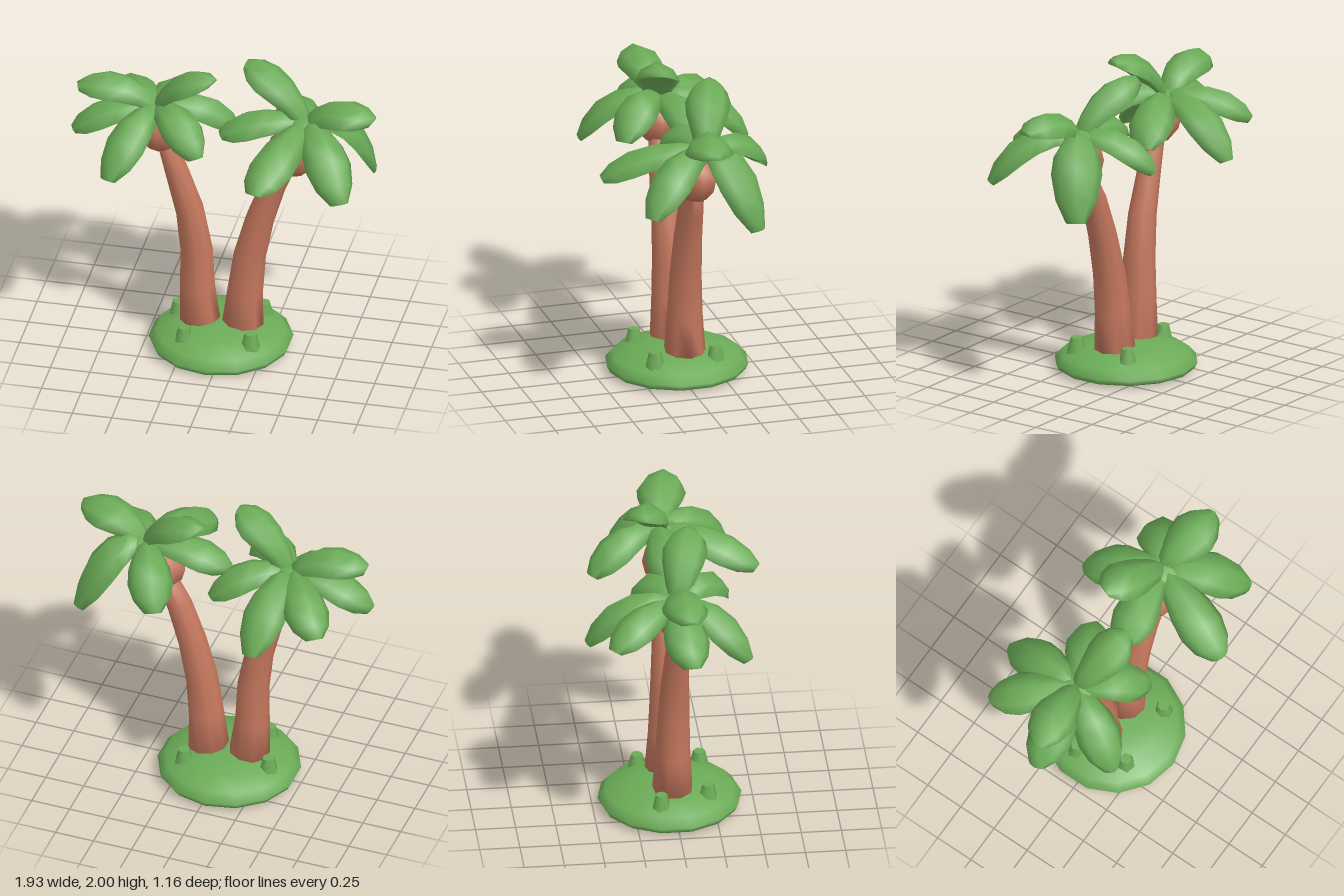
import * as THREE from 'three';

const V = (a) => new THREE.Vector3(...a);
const leafGreen = new THREE.MeshStandardMaterial({ color: 0x6bab57 });
leafGreen.name = 'leafGreen';
const barkBrown = new THREE.MeshStandardMaterial({ color: 0xc4775d });
barkBrown.name = 'barkBrown';

// Closed skin through rings along a curve; section(i, angle) gives [side, up] offsets
function loft(curve, steps, sides, sideAt, section) {
  const pos = [], idx = [];
  for (let i = 0; i < steps.length; i++) {
    const c = curve.getPoint(steps[i]), t = curve.getTangent(steps[i]);
    const s = sideAt(t), u = t.clone().cross(s);
    for (let k = 0; k < sides; k++) {
      const [a, b] = section(i, (k / sides) * Math.PI * 2);
      const p = c.clone().addScaledVector(s, a).addScaledVector(u, b);
      pos.push(p.x, p.y, p.z);
    }
  }
  for (let i = 0; i < steps.length - 1; i++) {
    for (let k = 0; k < sides; k++) {
      const a = i * sides + k, b = i * sides + (k + 1) % sides;
      idx.push(a, b, a + sides, b, b + sides, a + sides);
    }
  }
  // End caps
  const last = (steps.length - 1) * sides;
  for (let k = 1; k < sides - 1; k++) {
    idx.push(0, k + 1, k, last, last + k, last + k + 1);
  }
  const g = new THREE.BufferGeometry();
  g.setAttribute('position', new THREE.Float32BufferAttribute(pos, 3));
  g.setIndex(idx);
  g.computeVertexNormals();
  return g;
}

function add(parent, name, geometry, material, at = [0, 0, 0]) {
  const m = new THREE.Mesh(geometry, material);
  m.name = name;
  m.position.set(...at);
  parent.add(m);
  return m;
}

// Bent, tapering trunk
function trunk(points, radii) {
  const curve = new THREE.CatmullRomCurve3(points.map(V));
  const steps = points.map((_, i) => i / (points.length - 1));
  const side = (t) => new THREE.Vector3(1, 0, 0).addScaledVector(t, -t.x).normalize();
  return loft(curve, steps, 9, side, (i, a) => [Math.cos(a) * radii[i], Math.sin(a) * radii[i]]);
}

// Plump arching frond, widest past its middle, with a blunt tip and drooping edges
const frondSteps = [0, 0.2, 0.42, 0.65, 0.86, 1];
const frondWidths = [0.06, 0.095, 0.13, 0.142, 0.115, 0.055];
const frondThick = [0.035, 0.045, 0.05, 0.05, 0.038, 0.015];
function frond(hub, bend, tip, widen) {
  const curve = new THREE.QuadraticBezierCurve3(V(hub), V(bend), V(tip));
  const side = (t) => new THREE.Vector3(0, 1, 0).cross(t).normalize();
  return loft(curve, frondSteps, 8, side, (i, a) => {
    const c = Math.cos(a), s = Math.sin(a), w = frondWidths[i] * widen;
    return [c * w, s * frondThick[i] * (s > 0 ? 1 : 0.9) - c * c * w * 0.5];
  });
}

function palm(name, { path, radii, head, headRadius, hub, fronds }) {
  const tree = new THREE.Group();
  tree.name = name;
  add(tree, 'trunk', trunk(path, radii), barkBrown);
  add(tree, 'trunkHead', new THREE.SphereGeometry(headRadius, 8, 6), barkBrown, head).scale.z = 0.86;
  add(tree, 'crownHub', new THREE.SphereGeometry(0.12, 8, 6), leafGreen, hub).scale.y = 0.42;
  // Each frond: tip x, y, z, the height of its bend and how much it is widened
  for (const [x, y, z, bendY, widen = 1] of fronds) {
    const k = bendY > 1.85 ? 0.42 : 0.64;
    const bend = [hub[0] + (x - hub[0]) * k, bendY, hub[2] + (z - hub[2]) * k];
    add(tree, 'frond', frond(hub, bend, [x, y, z], widen), leafGreen);
  }
  return tree;
}

export function createModel() {
  const model = new THREE.Group();
  model.name = 'palmIsland';

  // Grassy mound
  const profile = [[0, 0.005], [0.36, 0.005], [0.43, 0.025], [0.448, 0.06], [0.4, 0.112],
    [0.28, 0.165], [0.16, 0.188], [0, 0.195]].map(([r, y]) => new THREE.Vector2(r, y));
  add(model, 'mound', new THREE.LatheGeometry(profile, 14), leafGreen, [-0.033, 0, -0.02]);

  // Grass tufts
  for (const [x, z] of [[0.2, 0.19], [-0.22, 0.2], [-0.32, -0.1], [0.2, -0.2]]) {
    const tuft = add(model, 'grassTuft', new THREE.CylinderGeometry(0.038, 0.065, 0.11, 6), leafGreen, [x, 0.17, z]);
    tuft.rotation.y = Math.atan2(x, z);
  }

  model.add(palm('rightPalm', {
    path: [[-0.16, 0.14, -0.015], [-0.18, 0.42, -0.012], [-0.185, 0.68, -0.01], [-0.225, 0.95, -0.005], [-0.3, 1.2, 0], [-0.38, 1.45, 0]],
    radii: [0.13, 0.11, 0.102, 0.09, 0.076, 0.058],
    head: [-0.415, 1.52, 0],
    headRadius: 0.15,
    hub: [-0.44, 1.66, -0.02],
    fronds: [
      [-0.93, 1.79, 0.02, 1.92],
      [-0.96, 1.48, 0.03, 1.72],
      [-0.76, 1.52, -0.45, 1.74],
      [-0.36, 1.37, -0.57, 1.76],
      [0.03, 1.48, -0.2, 1.76],
      [-0.06, 1.97, 0.1, 1.98],
      [-0.11, 1.52, 0.31, 1.83],
      [-0.67, 1.36, 0.42, 1.72],
    ],
  }));

  model.add(palm('leftPalm', {
    path: [[0.1, 0.14, -0.03], [0.12, 0.42, -0.025], [0.15, 0.68, -0.02], [0.215, 0.95, -0.015], [0.3, 1.2, -0.01], [0.4, 1.4, 0]],
    radii: [0.133, 0.112, 0.102, 0.09, 0.08, 0.065],
    head: [0.43, 1.465, 0],
    headRadius: 0.165,
    hub: [0.51, 1.66, -0.04],
    fronds: [
      [0.95, 1.79, 0.05, 1.9, 1.08],
      [0.88, 1.24, -0.29, 1.78, 1.12],
      [0.3, 1.46, -0.48, 1.74],
      [0.1, 1.96, -0.19, 1.96],
      [-0.03, 1.55, 0.02, 1.74],
      [0.29, 1.47, 0.565, 1.69, 1.06],
      [0.82, 1.37, 0.41, 1.75, 1.06],
    ],
  }));
  return model;
}
